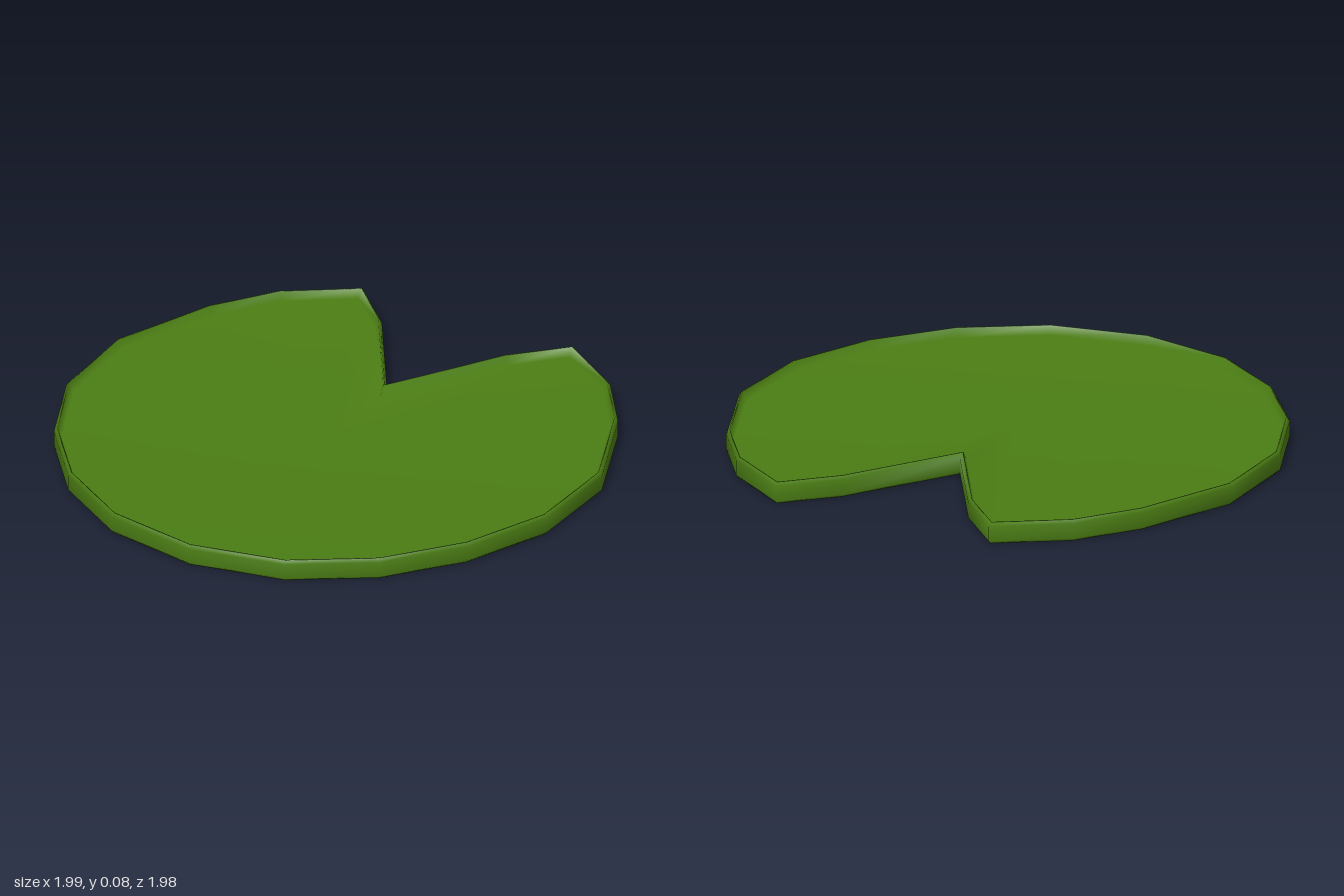
import * as THREE from 'three';

// Right half of the outline as [x, z], from the notch round to the front tip
const HALF = [
  [0, -0.415], [0.25, -0.81], [0.43, -0.99], [0.68, -0.82], [0.84, -0.6], [0.995, -0.22],
  [0.985, 0.15], [0.85, 0.47], [0.64, 0.73], [0.355, 0.915], [0, 0.985],
];

// Rim cross-section as [inset, y], from the underside over the lip to the sunken floor
const RIM = [[0.012, 0], [0, 0.012], [0, 0.068], [0.009, 0.08], [0.014, 0.08], [0.027, 0.047]];

// Moves every corner inwards by a mitred distance
function inset(outline, distance) {
  const n = outline.length;
  const inward = (a, b) => {
    const dx = b[0] - a[0], dz = b[1] - a[1], l = Math.hypot(dx, dz);
    return [-dz / l, dx / l];
  };
  return outline.map((p, i) => {
    const n1 = inward(outline[(i + n - 1) % n], p);
    const n2 = inward(p, outline[(i + 1) % n]);
    const k = distance / (1 + n1[0] * n2[0] + n1[1] * n2[1]);
    return [p[0] + (n1[0] + n2[0]) * k, p[1] + (n1[1] + n2[1]) * k];
  });
}

function padGeometry() {
  const mirrored = HALF.slice(1, -1).reverse().map(([x, z]) => [-x, z]);
  const outline = [...HALF, ...mirrored];
  const n = outline.length;
  const positions = [];
  const index = [];

  // One loop of corners per rim point
  for (const [d, y] of RIM) {
    for (const [x, z] of inset(outline, d)) positions.push(x, y, z);
  }
  const last = (RIM.length - 1) * n;
  const under = RIM.length * n;
  const floor = under + 1;
  positions.push(0, RIM[0][1], 0, 0, RIM[RIM.length - 1][1], 0);

  for (let i = 0; i < n; i++) {
    const k = (i + 1) % n;
    // Rim strips
    for (let j = 0; j < last; j += n) {
      index.push(j + i, j + n + i, j + k, j + k, j + n + i, j + n + k);
    }
    // Underside and sunken floor
    index.push(under, i, k);
    index.push(floor, last + k, last + i);
  }

  const geometry = new THREE.BufferGeometry();
  geometry.setAttribute('position', new THREE.Float32BufferAttribute(positions, 3));
  geometry.setIndex(index);
  geometry.computeVertexNormals();
  return geometry;
}

export function createModel() {
  const group = new THREE.Group();
  group.name = 'lilyPad';
  const pad = new THREE.Mesh(padGeometry(), new THREE.MeshStandardMaterial({ color: 0x4b7d14 }));
  pad.name = 'notchedLeaf';
  group.add(pad);
  return group;
}
